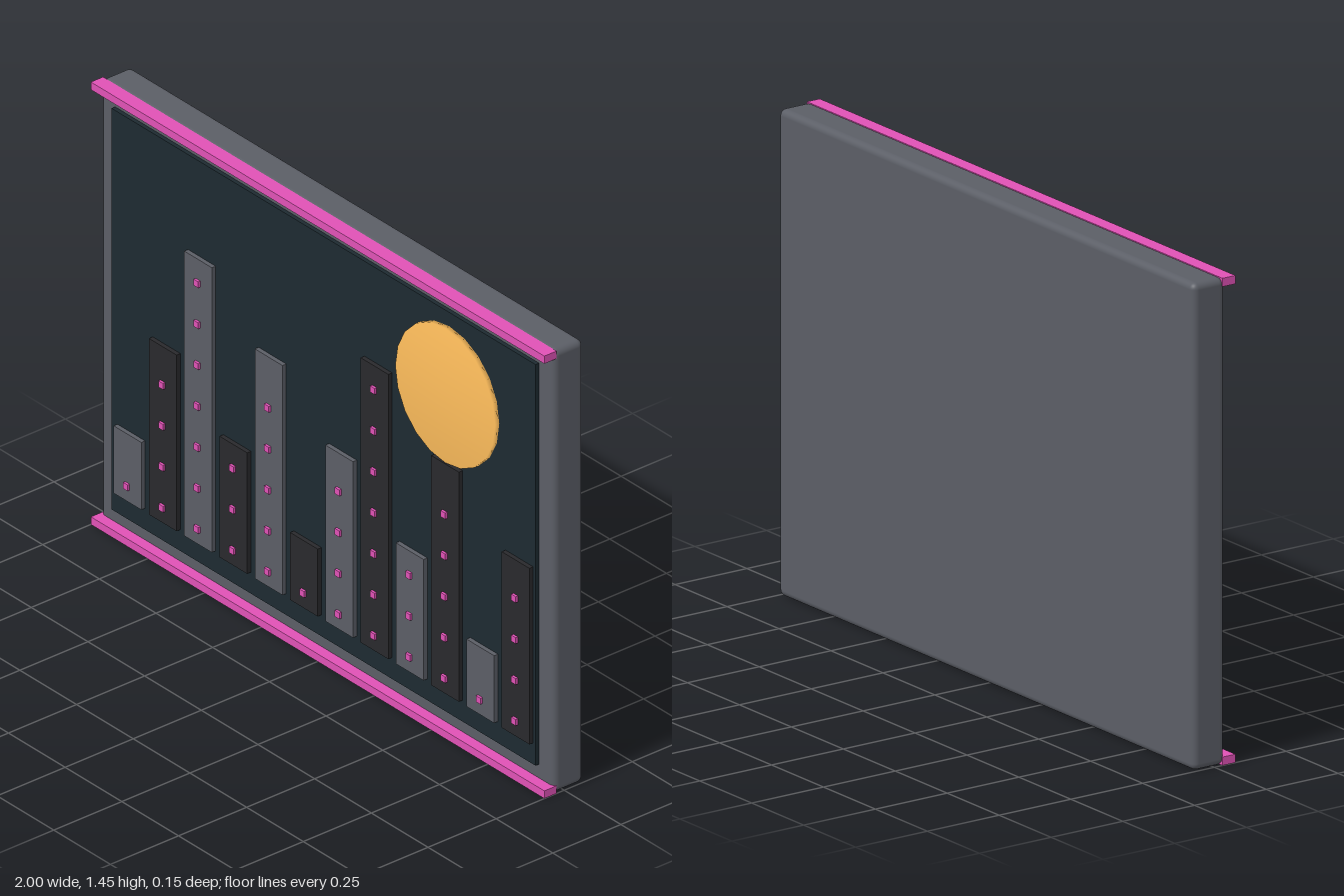
import * as THREE from 'three';
import { RoundedBoxGeometry } from 'three/addons/geometries/RoundedBoxGeometry.js';
import { mergeVertices } from 'three/addons/utils/BufferGeometryUtils.js';

const paint = (color) => new THREE.MeshStandardMaterial({ color });

export function createModel() {
  const model = new THREE.Group();
  model.name = 'cityWallPanel';

  const grey = paint(0x5b5e66);
  const night = paint(0x1d2a31);
  const dark = paint(0x29292c);
  const pink = paint(0xe052b6);
  const gold = paint(0xffbe5c);

  const add = (name, geometry, material, x, y, z, parent = model) => {
    const mesh = new THREE.Mesh(geometry, material);
    mesh.name = name;
    mesh.position.set(x, y, z);
    parent.add(mesh);
    return mesh;
  };
  // Box given by its centre x, bottom y and z range
  const box = (name, material, x, y, w, h, z0, z1, parent) =>
    add(name, new THREE.BoxGeometry(w, h, z1 - z0), material, x, y + h / 2, (z0 + z1) / 2, parent);

  // Rounded slab and inset night sky
  const H = 1.445;
  add('slab', new RoundedBoxGeometry(2, H, 0.111, 4, 0.02), grey, 0, H / 2, -0.0175);
  box('sky', night, 0, 0.07, 1.87, 1.31, 0.02, 0.051);

  // Light strips along the top and bottom edges
  box('bottomStrip', pink, 0, 0, 2, 0.025, 0.028, 0.073);
  box('topStrip', pink, 0, H - 0.025, 2, 0.025, 0.028, 0.073);

  // Skyline: alternating towers, each with a column of lit windows
  const heights = [0.22, 0.575, 0.93, 0.395, 0.75];
  const counts = [1, 4, 7, 3, 5];
  for (let i = 0; i < 12; i++) {
    const tower = new THREE.Group();
    tower.name = `tower${i + 1}`;
    model.add(tower);
    const x = -0.848 + i * 0.1556;
    box('towerBody', i % 2 ? dark : grey, x, 0.14, 0.122, heights[i % 5], 0.045, 0.065, tower);
    for (let k = 0; k < counts[i % 5]; k++) {
      box('window', pink, x, 0.181 + k * 0.1338, 0.02, 0.02, 0.055, 0.073, tower);
    }
  }

  // Moon disc, with normals blended softly across the rim
  let disc = new THREE.CylinderGeometry(0.22, 0.22, 0.02, 20);
  disc.rotateX(Math.PI / 2);
  disc.deleteAttribute('normal');
  disc.deleteAttribute('uv');
  disc = mergeVertices(disc, 1e-4);
  disc.computeVertexNormals();
  add('moon', disc, gold, 0.555, 1.115, 0.0565);

  return model;
}
